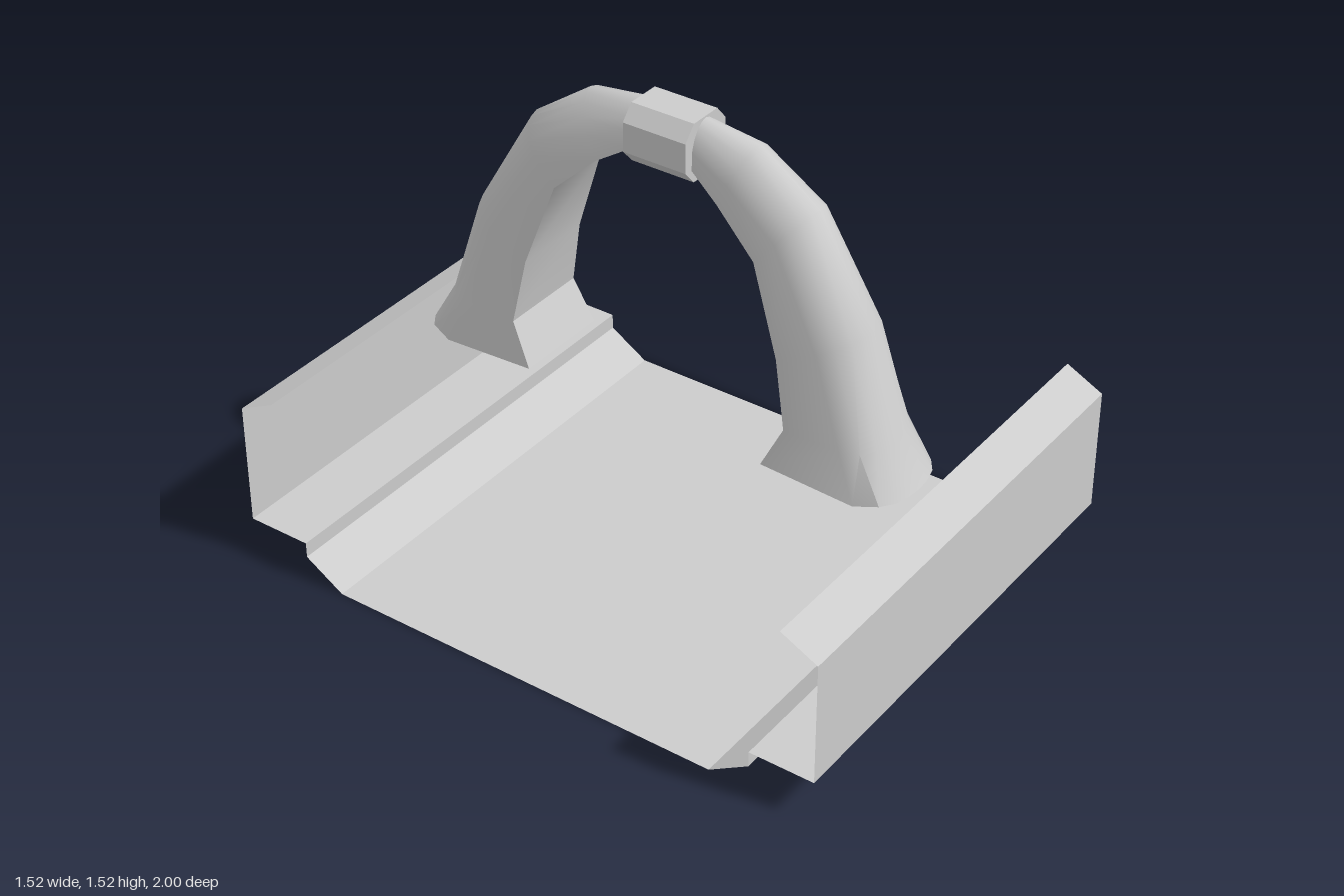
import * as THREE from 'three';
import { toCreasedNormals } from 'three/addons/utils/BufferGeometryUtils.js';

const grey = new THREE.MeshStandardMaterial({ color: 0xcccccc, side: THREE.DoubleSide });

// Sheet tray: open profile in z/y, swept along x with hard folds
function trayGeometry() {
  const half = [[0.88, 0.59], [1, 0.53], [1, 0.13], [0.79, 0.13], [0.79, 0.08], [0.66, 0]];
  const profile = [...half, ...half.map(([z, y]) => [-z, y]).reverse()];
  const pos = [];
  const w = 0.76;
  for (let i = 0; i < profile.length - 1; i++) {
    const [z0, y0] = profile[i], [z1, y1] = profile[i + 1];
    const a = [-w, y0, z0], b = [w, y0, z0], c = [w, y1, z1], d = [-w, y1, z1];
    pos.push(...a, ...b, ...c, ...a, ...c, ...d);
  }
  const g = new THREE.BufferGeometry();
  g.setAttribute('position', new THREE.Float32BufferAttribute(pos, 3));
  g.computeVertexNormals();
  return g;
}

// Curved arm: D-shaped sections, flat inside and rounded outside
function armGeometry() {
  // inner z, inner y, outer z, outer y, half width
  const sections = [
    [0.41, 0.575, 0.835, 0.575, 0.16],
    [0.475, 0.71, 0.76, 0.71, 0.146],
    [0.435, 0.92, 0.665, 1.03, 0.13],
    [0.34, 1.19, 0.48, 1.35, 0.108],
    [0.205, 1.315, 0.285, 1.487, 0.09],
    [0.105, 1.375, 0.105, 1.513, 0.065],
    [0.07, 1.38, 0.07, 1.518, 0.06],
  ];
  // half outline (across, outward) at the foot and at the tip
  const foot = [[1, 0], [1, 0.72], [0.86, 0.89], [0.6, 0.96], [0.3, 0.99]];
  const tip = [[1, 0], [1, 0.4], [0.82, 0.66], [0.55, 0.86], [0.28, 0.96]];
  const pos = [], index = [];
  let n = 0;
  sections.forEach(([zi, yi, zo, yo, w], k) => {
    const s = Math.min(1, k / 4);
    const side = foot.map(([u, t], j) => [
      THREE.MathUtils.lerp(u, tip[j][0], s), THREE.MathUtils.lerp(t, tip[j][1], s)]);
    const ring = [...side, [0, 1], ...side.map(([u, t]) => [-u, t]).reverse()];
    n = ring.length;
    for (const [u, t] of ring) {
      // the foot edge dips slightly at its outer corners
      const dip = k === 0 && t > 0.7 && t < 0.8 ? 0.015 : 0;
      pos.push(u * w, yi + (yo - yi) * t - dip, zi + (zo - zi) * t);
    }
  });
  const last = (sections.length - 1) * n;
  for (let k = 0; k < sections.length - 1; k++) {
    for (let j = 0; j < n; j++) {
      const a = k * n + j, b = k * n + (j + 1) % n;
      index.push(a, a + n, b, b, a + n, b + n);
    }
  }
  for (let j = 1; j < n - 1; j++) {
    index.push(0, j, j + 1, last, last + j + 1, last + j);
  }
  const g = new THREE.BufferGeometry();
  g.setAttribute('position', new THREE.Float32BufferAttribute(pos, 3));
  g.setIndex(index);
  return toCreasedNormals(g, 0.62);
}

// Octagonal clip joining the two arms
function clipGeometry() {
  const corners = [[0.055, 1.335], [0.095, 1.38], [0.095, 1.472], [0.055, 1.518]];
  const outline = [...corners, ...corners.map(([x, y]) => [-x, y]).reverse()];
  const shape = new THREE.Shape(outline.map(([x, y]) => new THREE.Vector2(x, y)));
  return new THREE.ExtrudeGeometry(shape, { depth: 0.21, bevelEnabled: false }).translate(0, 0, -0.105);
}

export function createModel() {
  const model = new THREE.Group();
  const add = (name, geometry, parent = model) => {
    const mesh = new THREE.Mesh(geometry, grey);
    mesh.name = name;
    parent.add(mesh);
    return mesh;
  };

  add('tray', trayGeometry());

  // Arched handle, a touch off centre
  const handle = new THREE.Group();
  handle.name = 'handle';
  handle.position.set(-0.004, 0, 0.005);
  model.add(handle);
  const arm = armGeometry();
  add('frontArm', arm, handle);
  add('backArm', arm, handle).rotation.y = Math.PI;
  add('clip', clipGeometry(), handle);

  return model;
}
